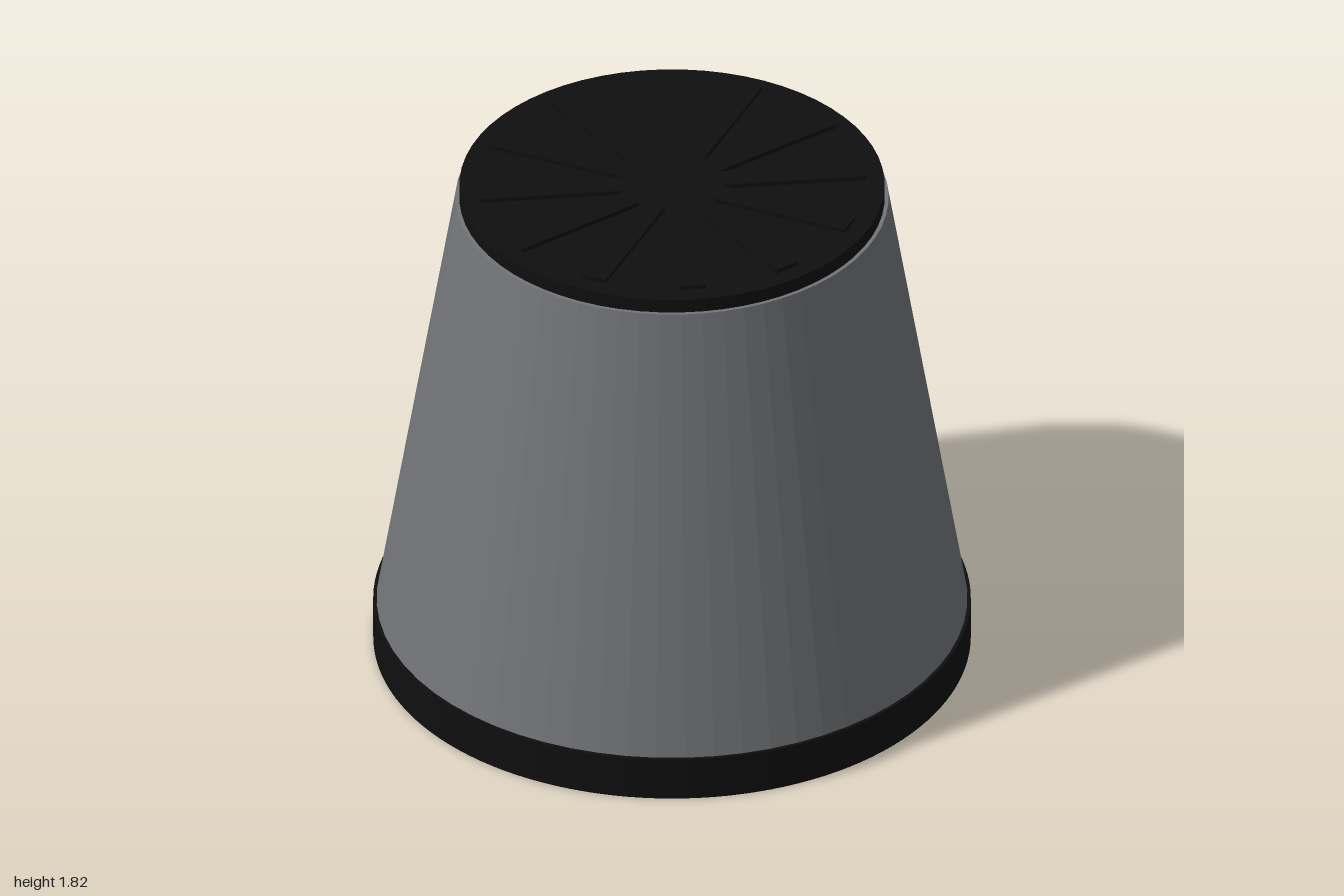
import * as THREE from 'three';

const SEGMENTS = 64;

export function createModel() {
  const group = new THREE.Group();
  const grey = new THREE.MeshStandardMaterial({ color: 0x727478 });
  grey.name = 'brushed grey';
  grey.flatShading = true;
  const black = new THREE.MeshStandardMaterial({ color: 0x0f0f0f });
  black.name = 'rubber black';

  const add = (name, geometry, material, x = 0, y = 0, z = 0, parent = group) => {
    const mesh = new THREE.Mesh(geometry, material);
    mesh.name = name;
    mesh.position.set(x, y, z);
    parent.add(mesh);
    return mesh;
  };

  // Tapered shell, open at the bottom where the base ring takes over
  const shellProfile = [[0.99, 0.15], [0.725, 1.75], [0.6, 1.75]].map(([r, y]) => new THREE.Vector2(r, y));
  add('shell', new THREE.LatheGeometry(shellProfile, SEGMENTS), grey);

  // Base ring with a hollow underside
  const ringShape = new THREE.Shape().absarc(0, 0, 1, 0, Math.PI * 2);
  ringShape.holes.push(new THREE.Path().absarc(0, 0, 0.93, 0, Math.PI * 2, true));
  const ring = new THREE.ExtrudeGeometry(ringShape, { depth: 0.155, bevelEnabled: false, curveSegments: SEGMENTS });
  ring.rotateX(-Math.PI / 2);
  add('baseRing', ring, black);

  // Recessed bottom plate
  add('bottomPlate', new THREE.CylinderGeometry(0.935, 0.935, 0.04, SEGMENTS), grey, 0, 0.06, 0);

  // Three round feet
  for (let i = 0; i < 3; i++) {
    const a = Math.PI / 6 + (i * Math.PI * 2) / 3;
    add('foot', new THREE.CylinderGeometry(0.1, 0.1, 0.045, 32), black, 0.755 * Math.cos(a), 0.0225, 0.755 * Math.sin(a));
  }

  // Top pad
  add('topPad', new THREE.CylinderGeometry(0.712, 0.712, 0.06, SEGMENTS), black, 0, 1.77, 0);

  // Raised grip ribs: six full-width bars give twelve spokes
  const ribs = new THREE.Group();
  ribs.name = 'gripRibs';
  group.add(ribs);
  for (let i = 0; i < 6; i++) {
    const rib = add('gripRib', new THREE.BoxGeometry(1.3, 0.025, 0.085), black, 0, 1.8025, 0, ribs);
    rib.rotation.y = (i * Math.PI) / 6;
  }

  return group;
}
